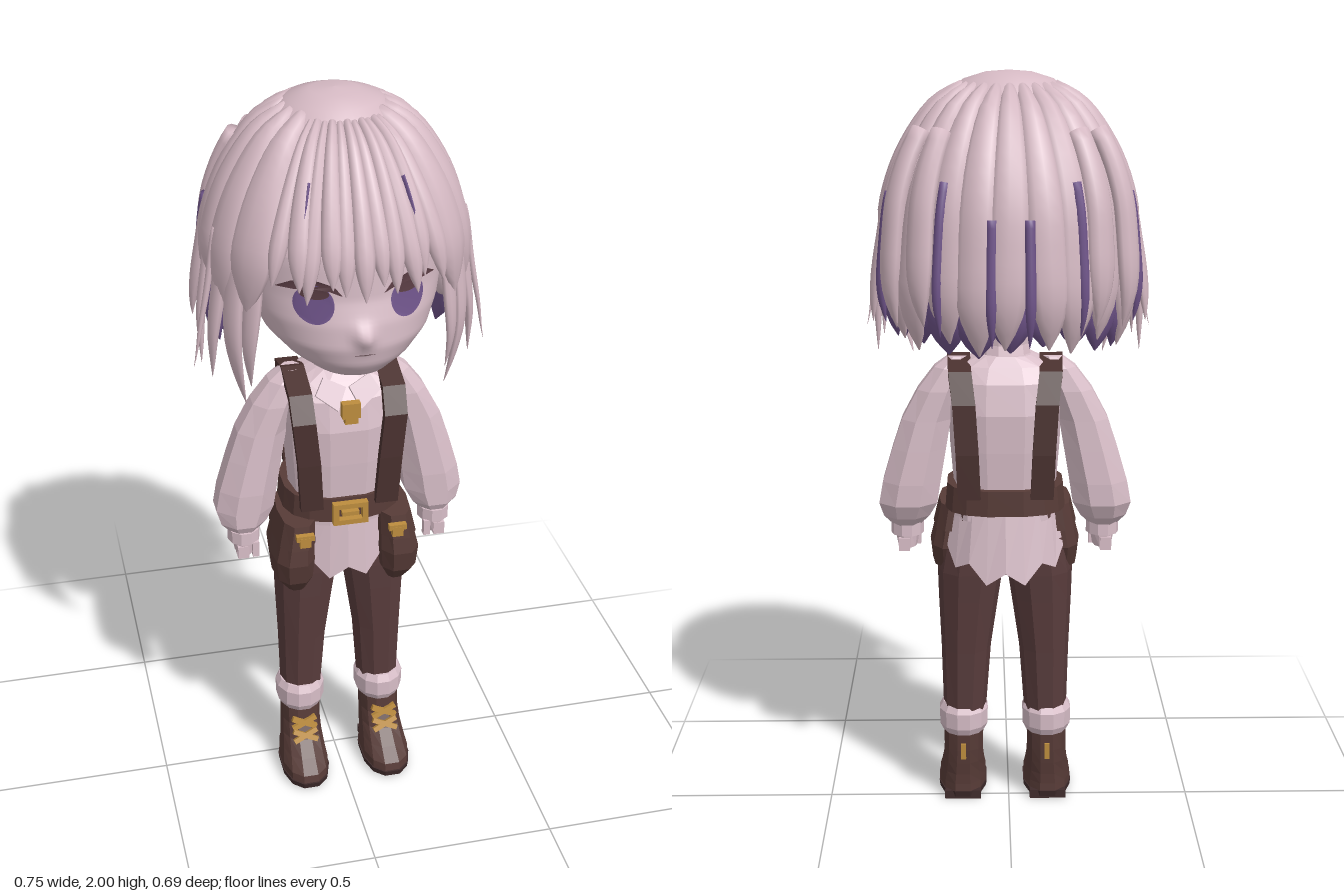
import * as THREE from 'three';

const mat = (name, color, side = THREE.FrontSide) => {
  const m = new THREE.MeshStandardMaterial({ color, side });
  m.name = name;
  return m;
};
const V = (x, y, z) => new THREE.Vector3(x, y, z);

// Closed skin over a row of cross-section loops
function skin(sections, flat) {
  const n = sections[0].length, rows = sections.length, pos = [], idx = [];
  sections.forEach(s => s.forEach(p => pos.push(p.x, p.y, p.z)));
  for (const s of [sections[0], sections[rows - 1]]) {
    const c = s.reduce((a, p) => a.add(p), V(0, 0, 0)).divideScalar(n);
    pos.push(c.x, c.y, c.z);
  }
  for (let j = 0; j < n; j++) {
    const k = (j + 1) % n, top = (rows - 1) * n;
    for (let i = 0; i < rows - 1; i++) {
      const a = i * n + j, b = i * n + k;
      idx.push(a, b, a + n, b, b + n, a + n);
    }
    idx.push(rows * n, k, j, rows * n + 1, top + j, top + k);
  }
  let g = new THREE.BufferGeometry();
  g.setAttribute('position', new THREE.Float32BufferAttribute(pos, 3));
  g.setIndex(idx);
  if (flat) g = g.toNonIndexed();
  g.computeVertexNormals();
  return g;
}

const spow = (v, p) => Math.sign(v) * Math.abs(v) ** p;
// Horizontal rings [y, cx, rx, cz, rz] from the bottom up; p < 1 is boxier
function loft(rings, n = 8, p = 1, flat = true) {
  return skin(rings.map(([y, cx, rx, cz, rz]) => Array.from({ length: n }, (_, j) => {
    const t = (j + 0.5) / n * Math.PI * 2;
    return V(cx + rx * spow(Math.sin(t), p), y, cz + rz * spow(Math.cos(t), p));
  })), flat);
}

// Head rings: y, half width, front z, back z
const HEAD = [[1.335, 0.035, 0.2, 0.1], [1.35, 0.09, 0.245, 0.04], [1.39, 0.155, 0.275, -0.06], [1.44, 0.205, 0.287, -0.13],
  [1.5, 0.236, 0.282, -0.2], [1.56, 0.252, 0.265, -0.23], [1.64, 0.26, 0.262, -0.25], [1.75, 0.25, 0.25, -0.24],
  [1.86, 0.19, 0.18, -0.18], [1.93, 0.08, 0.08, -0.08]];
function headRing(y) {
  const i = Math.max(0, HEAD.findIndex(r => r[0] >= y) - 1), a = HEAD[i], b = HEAD[i + 1];
  const [, w, f, k] = a.map((v, q) => v + (b[q] - v) * (y - a[0]) / (b[0] - a[0]));
  return [y, 0, w, (f + k) / 2, (f - k) / 2];
}
function faceZ(x, y) {
  const [, , w, c, d] = headRing(y);
  return c + d * Math.sqrt(Math.max(0, 1 - (x / w) ** 2));
}

// Outer hair outline from crown to tips (radius, y)
const OUTLINE = new THREE.SplineCurve([[0.1, 1.985], [0.2, 1.93], [0.28, 1.82], [0.327, 1.7], [0.345, 1.58],
  [0.354, 1.45], [0.34, 1.35], [0.315, 1.25]].map(p => new THREE.Vector2(...p)));
// One tapered lock; a is the angle from the front, w half its angular width
function lock(a, s0, s1, w, t, { scale = 1, twist = 0, flare = 0, cut = 0.62 } = {}) {
  const rows = [], N = 16;
  for (let i = 0; i <= N; i++) {
    const u = i / N, s = s0 + (s1 - s0) * u;
    const p = OUTLINE.getPointAt(s), d = OUTLINE.getTangentAt(s);
    const az = a + twist * u * u, sa = Math.sin(az), ca = Math.cos(az);
    const k = u < cut ? 1 : Math.max(0.04, Math.cos((u - cut) / (1 - cut) * Math.PI / 2) ** 0.8);
    const out = V(-d.y * sa, d.x, -d.y * ca), side = V(-ca, 0, sa);
    const r = p.x * scale + flare * u ** 3, hw = p.x * Math.tan(w) * k, th = t * k;
    const c = V(r * sa, p.y - (1 - scale) * 0.3, r * ca).addScaledVector(out, -t);
    rows.push(Array.from({ length: 10 }, (_, j) => {
      const q = j / 10 * Math.PI * 2;
      return c.clone().addScaledVector(side, hw * Math.sin(q)).addScaledVector(out, th * Math.cos(q));
    }));
  }
  return skin(rows, false);
}

export function createModel() {
  const hair = mat('hair', 0xd6bac4, THREE.DoubleSide), purple = mat('purple', 0x6f548a);
  const skinM = mat('skin', 0xd9bec8), shirt = mat('shirt', 0xd9bfc9, THREE.DoubleSide);
  const pants = mat('trousers', 0x5a3d3d), leather = mat('leather', 0x573b37), strapM = mat('darkLeather', 0x4a312f);
  const gold = mat('gold', 0xbd8d3e), sole = mat('sole', 0x402c2c), lash = mat('lash', 0x5a3d44);
  const root = new THREE.Group(), body = new THREE.Group();
  body.name = 'body';
  body.position.x = 0.01;
  root.add(body);
  const add = (name, geo, m, parent = body) => {
    const o = new THREE.Mesh(geo, m);
    o.name = name;
    parent.add(o);
    return o;
  };
  const box = (name, m, w, h, d, x, y, z, rx = 0, rz = 0) => {
    const o = add(name, new THREE.BoxGeometry(w, h, d), m);
    o.position.set(x, y, z);
    o.rotation.set(rx, 0, rz);
    return o;
  };

  // Head with a small nose drawn out of the face, and neck
  const head = loft(Array.from({ length: 61 }, (_, i) => headRing(1.335 + 0.595 * i / 60)), 96, 1, false);
  const hv = head.attributes.position;
  for (let i = 0; i < hv.count; i++) {
    const x = hv.getX(i), y = hv.getY(i), z = hv.getZ(i);
    if (z > 0.2) hv.setZ(i, z + 0.026 * Math.exp(-((x / 0.022) ** 2) - ((y - 1.473) / 0.026) ** 2));
  }
  head.computeVertexNormals();
  add('head', head, skinM);
  add('neck', loft([[1.24, 0, 0.075, 0, 0.07], [1.3, 0, 0.065, 0.01, 0.06], [1.38, 0, 0.065, 0.01, 0.06]], 12), skinM);

  // Painted face, laid on the curve of the head
  const plate = (name, shape, m, lift) => {
    const g = new THREE.ShapeGeometry(shape, 20), p = g.attributes.position;
    for (let i = 0; i < p.count; i++) p.setZ(i, faceZ(p.getX(i), p.getY(i)) + lift);
    g.computeVertexNormals();
    add(name, g, m);
  };
  for (const s of [-1, 1]) {
    const iris = new THREE.Shape();
    iris.absellipse(s * 0.115, 1.554, 0.046, 0.048, 0, Math.PI * 2);
    plate('iris', iris, purple, 0.005);
    const pupil = new THREE.Shape();
    pupil.absellipse(s * 0.115, 1.582, 0.034, 0.015, 0, Math.PI * 2);
    plate('pupil', pupil, lash, 0.008);
    const lid = new THREE.Shape([[0.05, 1.578], [0.07, 1.603], [0.115, 1.617], [0.165, 1.608], [0.198, 1.585], [0.16, 1.588], [0.115, 1.594], [0.08, 1.59]]
      .map(([x, y]) => new THREE.Vector2(s * x, y)));
    plate('upperLash', lid, lash, 0.01);
    const ear = add('ear', new THREE.SphereGeometry(1, 14, 10), skinM);
    ear.scale.set(0.022, 0.065, 0.04);
    ear.position.set(s * 0.268, 1.5, 0.01);
    ear.rotation.y = s * 0.35;
  }
  const mouth = new THREE.Shape([[-0.03, 1.427], [0, 1.424], [0.03, 1.427], [0, 1.4275]].map(p => new THREE.Vector2(...p)));
  plate('mouth', mouth, lash, 0.004);

  // Hair: crown cap, purple underlayer, back, sides and fringe
  const hairG = new THREE.Group();
  hairG.name = 'hair';
  root.add(hairG);
  add('crown', new THREE.LatheGeometry([[0.295, 1.68], [0.285, 1.72], [0.25, 1.81], [0.18, 1.915], [0.115, 1.978], [0.06, 1.995], [0, 2]]
    .map(p => new THREE.Vector2(...p)), 48), hair, hairG);
  const D = Math.PI / 180;
  for (let i = 0; i <= 10; i++) {
    add('underLock', lock((101 + i * 15.8) * D, 0.25, 0.88 + 0.02 * Math.sin(i * 5), 10 * D, 0.025, { scale: 0.93, cut: 0.8 }), purple, hairG);
  }
  for (let i = 0; i <= 10; i++) {
    const end = i % 10 ? 0.9 + 0.02 * Math.sin(i * 3.7) : 0.7;
    add('backLock', lock((104 + i * 15.2) * D, 0.03, end, 8.8 * D, 0.03, { cut: 0.75, twist: 0.05 * Math.sin(i * 2.3) }), hair, hairG);
  }
  for (const s of [-1, 1]) {
    const L = (name, m, a, s0, s1, w, t, o) =>
      add(name, lock(s * a * D, s0, s1, w * D, t, { ...o, twist: s * (o.twist || 0) }), m, hairG);
    L('sideLock', hair, 88, 0.03, 0.63, 10, 0.03, { cut: 0.8 });
    L('sideLock', hair, 70, 0.03, 0.7, 11, 0.03, { cut: 0.7, twist: 0.04 });
    L('sideLock', hair, 51, 0.03, 0.66, 11, 0.028, { cut: 0.7, twist: 0.04 });
    L('flaredLock', hair, 106, 0.25, 0.84, 5.5, 0.02, { flare: 0.04, twist: 0.06 });
    L('flaredLock', hair, 121, 0.25, 0.87, 6.5, 0.024, { scale: 1.06, twist: 0.04 });
    L('flaredLock', hair, 139, 0.25, 0.85, 6.5, 0.025, { scale: 1.06, twist: 0.04 });
    L('templeLock', hair, 62, 0.4, 0.99, 5.5, 0.015, { scale: 0.96, cut: 0.45 });
    L('templeLock', hair, 72, 0.4, 0.92, 4.5, 0.015, { scale: 0.97, cut: 0.45, flare: 0.035, twist: 0.05 });
    L('templeLock', hair, 51, 0.4, 0.9, 4.5, 0.013, { scale: 0.93, cut: 0.45, twist: 0.08 });
    L('templeLock', hair, 95, 0.4, 0.94, 3, 0.014, { scale: 0.96, cut: 0.5, flare: 0.04 });
    L('wisp', hair, 76, 0.45, 0.9, 1.6, 0.008, { flare: 0.055, cut: 0.3, twist: 0.04 });
    L('underLock', purple, 66, 0.4, 0.84, 4.5, 0.014, { scale: 0.91, cut: 0.6 });
    L('purpleStreak', purple, 113, 0.45, 0.85, 3, 0.015, { scale: 1.03 });
    L('purpleStreak', purple, 149, 0.4, 0.86, 2.4, 0.015, { scale: 1.02 });
    L('purpleStreak', purple, 172, 0.5, 0.88, 2.2, 0.012, { scale: 1.005 });
    L('purpleStreak', purple, 26, 0.25, 0.5, 0.9, 0.012, { scale: 1.0 });
  }
  for (let i = -5; i <= 5; i++) {
    add('fringeLock', lock(i * 7.3 * D, 0.05, 0.565 + 0.025 * Math.sin(i * 4.1 + 1), (4.6 + 0.8 * Math.sin(i * 3)) * D, 0.022,
      { cut: 0.72, twist: 0.05 * Math.sin(i * 2.9), flare: 0.016, scale: i % 2 ? 0.985 : 1 }), hair, hairG);
  }

  // Shirt, collar and ragged hem
  add('shirt', loft([[0.84, 0, 0.142, 0, 0.12], [0.93, 0, 0.138, 0.005, 0.12], [1.03, 0, 0.146, 0.005, 0.128], [1.13, 0, 0.15, 0.005, 0.132],
    [1.21, 0, 0.145, 0.005, 0.115], [1.25, 0, 0.125, 0, 0.085], [1.275, 0, 0.07, 0, 0.065]], 14, 0.72), shirt);
  const hem = new THREE.CylinderGeometry(1, 1, 1, 20, 1, true).toNonIndexed(), hp = hem.attributes.position;
  for (let i = 0; i < hp.count; i++) {
    const x = hp.getX(i), z = hp.getZ(i), top = hp.getY(i) > 0, j = Math.round(Math.atan2(x, z) / (Math.PI / 10));
    if (top) hp.setXYZ(i, x * 0.145, 0.89, z * 0.122);
    else hp.setXYZ(i, x * 0.165, (j % 2 ? 0.67 : 0.71) + 0.06 * x * x, z * 0.143 - 0.01);
  }
  hem.computeVertexNormals();
  add('shirtHem', hem, shirt);
  for (const s of [-1, 1]) {
    const c = new THREE.Shape([[0.004, 1.25], [0.03, 1.19], [0.085, 1.235], [0.06, 1.28]].map(([x, y]) => new THREE.Vector2(s * x, y)));
    const m = add('collar', new THREE.ExtrudeGeometry(c, { depth: 0.012, bevelEnabled: false }).translate(0, -1.2, 0), shirt);
    m.position.set(0, 1.2, 0.125);
    m.rotation.x = -0.5;
  }
  box('brooch', gold, 0.048, 0.042, 0.022, 0, 1.203, 0.148);
  box('broochDrop', gold, 0.034, 0.024, 0.02, 0, 1.178, 0.148);

  // Belt and buckle
  add('belt', loft([[0.862, 0, 0.162, 0, 0.136], [0.93, 0, 0.156, 0, 0.134]], 16, 0.75), leather);
  const frame = new THREE.Shape([[-0.047, -0.031], [0.047, -0.031], [0.047, 0.031], [-0.047, 0.031]].map(p => new THREE.Vector2(...p)));
  frame.holes.push(new THREE.Path([[-0.032, -0.017], [-0.032, 0.017], [0.032, 0.017], [0.032, -0.017]].map(p => new THREE.Vector2(...p))));
  add('buckle', new THREE.ExtrudeGeometry(frame, { depth: 0.02, bevelEnabled: false }), gold).position.set(0, 0.895, 0.138);
  box('bucklePin', gold, 0.046, 0.012, 0.016, 0, 0.895, 0.148);

  add('hips', loft([[0.68, 0, 0.12, 0.005, 0.08], [0.73, 0, 0.16, 0.005, 0.1], [0.87, 0, 0.148, 0, 0.118]], 12, 0.8), pants);

  for (const s of [-1, 1]) {
    // Suspenders
    const path = [[0.1, 0.91, 0.132], [0.108, 1.05, 0.14], [0.12, 1.17, 0.138], [0.122, 1.23, 0.105], [0.122, 1.262, 0.01],
      [0.118, 1.235, -0.09], [0.108, 1.16, -0.122], [0.1, 1.03, -0.13], [0.095, 0.91, -0.126]];
    add('suspender', skin(path.map(([x, y, z], i) => {
      const a = path[Math.max(0, i - 1)], b = path[Math.min(path.length - 1, i + 1)];
      const t = V(0, b[1] - a[1], b[2] - a[2]).normalize(), n = V(0, -t.z, t.y).multiplyScalar(0.011);
      return [[-1, 1], [1, 1], [1, -1], [-1, -1]].map(([u, v]) => V(s * x + u * 0.03, y, z).addScaledVector(n, v));
    }), true), strapM);

    // Sleeve, cuff, hand and fingers
    add('sleeve', loft([[0.8, 0.265, 0.036, 0.015, 0.04], [0.83, 0.264, 0.066, 0.01, 0.062], [0.87, 0.259, 0.084, 0, 0.074],
      [0.93, 0.249, 0.083, 0, 0.076], [1.02, 0.228, 0.077, 0, 0.072], [1.1, 0.208, 0.07, 0, 0.068], [1.18, 0.175, 0.06, 0, 0.065],
      [1.24, 0.142, 0.047, 0, 0.054], [1.268, 0.125, 0.026, 0, 0.028]].map(r => [r[0], s * r[1], ...r.slice(2)]), 8), shirt);
    add('cuff', loft([[0.775, s * 0.264, 0.044, 0.018, 0.048], [0.81, s * 0.264, 0.044, 0.018, 0.048]], 10), shirt);
    add('hand', loft([[0.74, s * 0.264, 0.026, 0.02, 0.04], [0.785, s * 0.264, 0.034, 0.02, 0.042]], 10), skinM);
    for (let f = 0; f < 4; f++) box('finger', skinM, 0.03, 0.036, 0.018, s * 0.272, 0.75, -0.014 + f * 0.022);
    box('thumb', skinM, 0.018, 0.045, 0.02, s * 0.238, 0.755, 0.05);

    // Hip pouch with flap and clasp
    add('pouch', loft([[0.65, s * 0.138, 0.026, 0.085, 0.04], [0.69, s * 0.143, 0.054, 0.06, 0.095], [0.75, s * 0.143, 0.06, 0.052, 0.114],
      [0.865, s * 0.13, 0.044, 0.048, 0.102]], 10, 0.75), leather);
    add('pouchFlap', loft([[0.8, s * 0.138, 0.056, 0.05, 0.117], [0.868, s * 0.13, 0.048, 0.048, 0.107]], 10, 0.75), leather);
    box('clasp', gold, 0.048, 0.016, 0.016, s * 0.125, 0.843, 0.164);
    box('claspDrop', gold, 0.03, 0.028, 0.018, s * 0.125, 0.83, 0.164);

    // Leg and rolled cuff
    add('leg', loft([[0.25, s * 0.112, 0.058, 0.013, 0.062], [0.45, s * 0.107, 0.068, 0.012, 0.077], [0.6, s * 0.099, 0.082, 0.01, 0.09],
      [0.68, s * 0.094, 0.089, 0.008, 0.097], [0.78, s * 0.085, 0.08, 0.005, 0.1]], 10, 0.9), pants);
    add('sock', loft([[0.2, s * 0.115, 0.058, 0.017, 0.066], [0.22, s * 0.115, 0.068, 0.017, 0.076], [0.265, s * 0.115, 0.069, 0.017, 0.077],
      [0.285, s * 0.115, 0.058, 0.017, 0.066]], 12), shirt);

    // Boot, sole, heel and crossed laces
    add('boot', loft([[0.02, s * 0.119, 0.066, 0.08, 0.117], [0.045, s * 0.119, 0.066, 0.078, 0.113], [0.075, s * 0.118, 0.061, 0.058, 0.093],
      [0.11, s * 0.117, 0.057, 0.035, 0.073], [0.15, s * 0.116, 0.055, 0.022, 0.063], [0.215, s * 0.115, 0.056, 0.017, 0.06]], 12, 0.85), leather);
    add('bootSole', loft([[0.006, s * 0.119, 0.067, 0.081, 0.115], [0.024, s * 0.119, 0.069, 0.081, 0.12]], 12, 0.85), sole);
    box('heel', sole, 0.1, 0.024, 0.06, s * 0.119, 0.012, 0.0);
    for (const [y, z, tilt] of [[0.125, 0.104, -0.45], [0.16, 0.088, -0.25]]) {
      for (const r of [-1, 1]) box('lace', gold, 0.074, 0.014, 0.014, s * 0.117, y, z, tilt, r * 0.42);
    }
    box('heelTab', gold, 0.014, 0.045, 0.01, s * 0.116, 0.15, -0.041);
  }
  return root;
}
